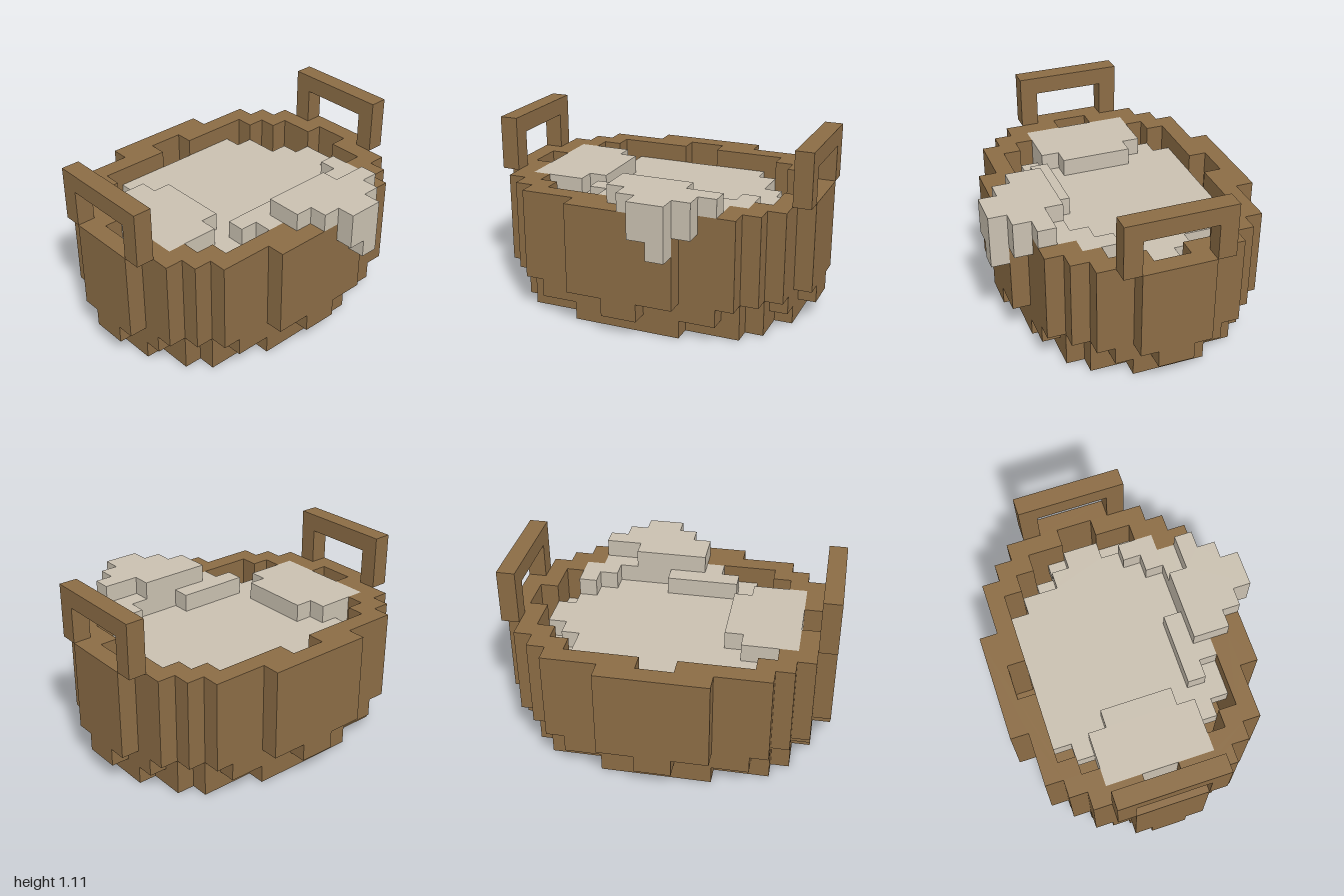
import * as THREE from 'three';

const U = 1 / 9;        // one voxel
const Z0 = -7.5;        // back edge of row 0, in voxels

// Outline of consecutive rows; each row is [xMin, xMax] in voxels
function outline(rows, first, Target = THREE.Shape) {
  const right = [], left = [];
  rows.forEach(([a, b], i) => {
    const z = Z0 + first + i;
    const prev = rows[i - 1], next = rows[i + 1];
    if (!prev || prev[1] !== b) right.push([b, z]);
    if (!next || next[1] !== b) right.push([b, z + 1]);
    if (!prev || prev[0] !== a) left.push([a, z]);
    if (!next || next[0] !== a) left.push([a, z + 1]);
  });
  return new Target([...right, ...left.reverse()].map(([x, z]) => new THREE.Vector2(x * U, z * U)));
}

// Upright slab between two heights
function slab(shape, y0, y1) {
  return new THREE.ExtrudeGeometry(shape, { depth: (y1 - y0) * U, bevelEnabled: false })
    .rotateX(Math.PI / 2).translate(0, y1 * U, 0);
}

// Half widths of the back half, mirrored to the front half
const oval = (half) => [...half, ...[...half].reverse()].map((w) => [-w, w]);

export function createModel() {
  const group = new THREE.Group();
  const wood = new THREE.MeshStandardMaterial({ color: 0x8b6c45 });
  wood.name = 'brown wood';
  const cream = new THREE.MeshStandardMaterial({ color: 0xc9c0b0 });
  cream.name = 'pale cream';

  const add = (name, geometry, material) => {
    const mesh = new THREE.Mesh(geometry, material);
    mesh.name = name;
    group.add(mesh);
    return mesh;
  };

  // Tub: two stepped floor layers and a hollow wall
  add('tubBase', slab(outline(oval([3, 6, 7, 7, 8, 8]), 1), 0, 1), wood);
  add('tubFloor', slab(outline(oval([1, 5, 6, 7, 8, 8, 9]), 0), 1, 2), wood);
  const wall = outline(oval([3, 6, 7, 8, 8, 9, 9]), 0);
  wall.holes.push(outline(oval([1, 5, 6, 7, 7, 8]), 1, THREE.Path));
  add('tubWall', slab(wall, 2, 7), wood);

  // Handles: square arches standing on each side
  const arch = new THREE.Shape([
    [-3.5, 7], [-2.5, 7], [-2.5, 9], [1.5, 9], [1.5, 7], [2.5, 7], [2.5, 10], [-3.5, 10],
  ].map(([z, y]) => new THREE.Vector2(-z * U, y * U)));
  for (const [name, x] of [['rightHandle', -9], ['leftHandle', 8]]) {
    const g = new THREE.ExtrudeGeometry(arch, { depth: U, bevelEnabled: false })
      .rotateY(Math.PI / 2).translate(x * U, 0, 0);
    add(name, g, wood);
  }

  // Filling: flat surface inside the tub
  add('filling', slab(outline([
    [-4, 4], [-5, 5], [-7, 5], [-7, 6], [-7, 7], [-7, 7], [-7, 6], [-7, 6], [-5, 6], [-4, 5],
  ], 2), 5, 6), cream);

  // Filling: lower steps, raised lumps, the spill over the rim and its drips
  const lumps = [
    ['lowStepBack', 4, [[5, 6], [5, 7]], 4, 5],
    ['lowStepFront', 8, [[6, 7], [6, 7]], 4, 5],
    ['sideLump', 4, [[-7, -4], [-7, -3], [-7, -3], [-7, -3], [-7, -3], [-7, -4]], 6, 7],
    ['frontLump', 10, [[-3, 1], [-2, 5]], 6, 7],
    ['cornerLump', 9, [[5, 6], [4, 6]], 6, 7],
    ['spill', 11, [[-1, 3], [-1, 5], [0, 4], [1, 3]], 7, 8],
    ['dripSide', 13, [[3, 4]], 6, 7],
    ['dripFront', 14, [[1, 3]], 6, 7],
    ['dripTip', 14, [[2, 3]], 5, 6],
  ];
  for (const [name, first, rows, y0, y1] of lumps) {
    add(name, slab(outline(rows, first), y0, y1), cream);
  }

  return group;
}
